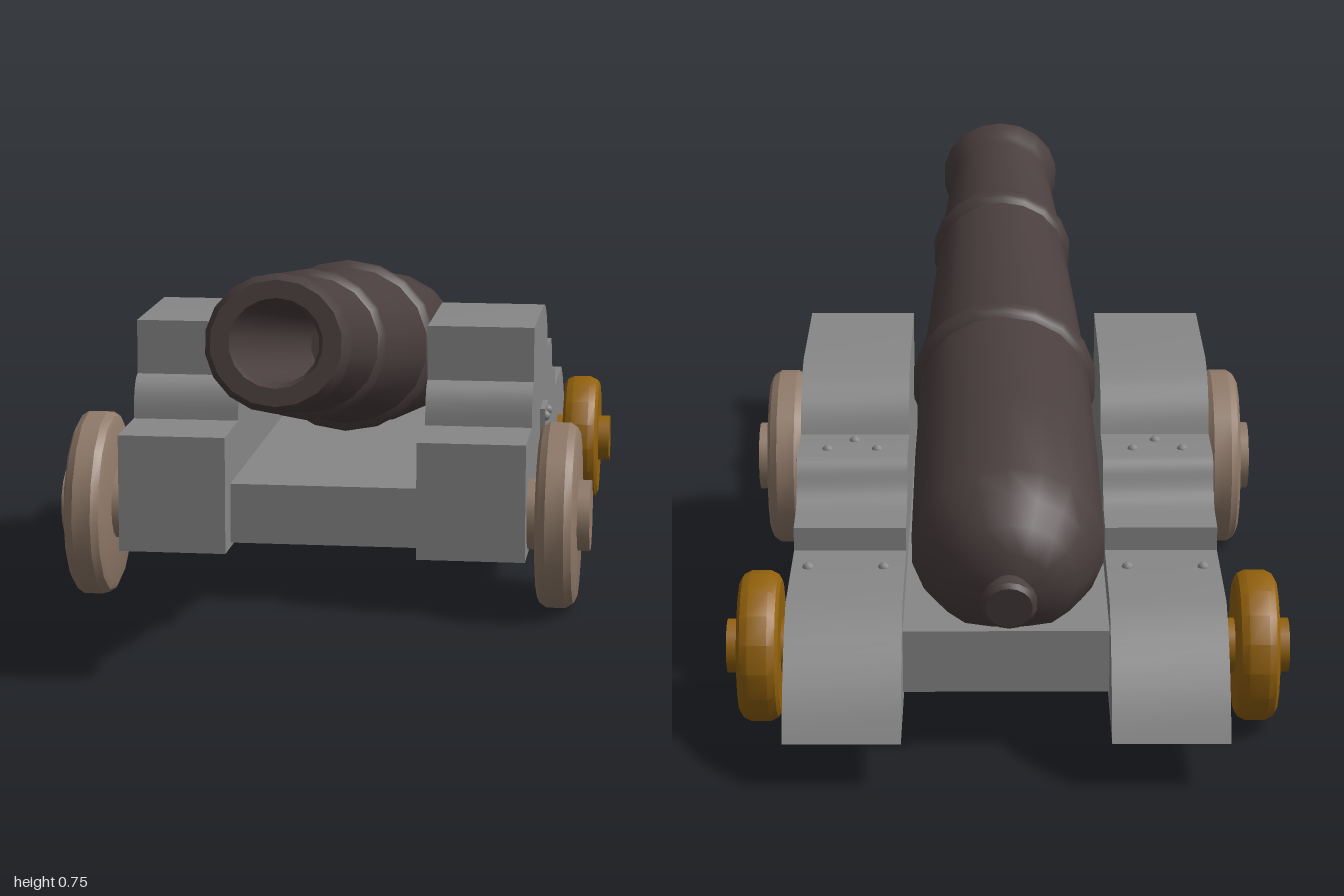
import * as THREE from 'three';
import { toCreasedNormals } from 'three/addons/utils/BufferGeometryUtils.js';

const mat = (color) => new THREE.MeshStandardMaterial({ color });

export function createModel() {
  const model = new THREE.Group();
  const grey = mat(0x878787);
  const iron = mat(0x4a3e3e);
  const tan = mat(0x907a69);
  const amber = mat(0x92610c);

  const add = (name, geometry, material, x = 0, y = 0, z = 0) => {
    const mesh = new THREE.Mesh(geometry, material);
    mesh.name = name;
    mesh.position.set(x, y, z);
    model.add(mesh);
    return mesh;
  };
  // Turned shape from [radius, height] pairs, sharp only at strong edges
  const lathe = (points, sides, crease) => toCreasedNormals(
    new THREE.LatheGeometry(points.map(([r, h]) => new THREE.Vector2(r, h)), sides), crease);

  // Barrel: cascabel knob, breech, two bands, flared muzzle and hollow bore
  const tilt = 0.171;
  const barrelGeo = lathe([
    [0, 0], [0.042, 0], [0.05, 0.008], [0.05, 0.026], [0.038, 0.034], [0.038, 0.054],
    [0.075, 0.064], [0.122, 0.093], [0.153, 0.145], [0.178, 0.205],
    [0.176, 0.5], [0.169, 0.825],
    [0.178, 0.832], [0.184, 0.845], [0.184, 0.865], [0.178, 0.878], [0.167, 0.885],
    [0.136, 1.435], [0.143, 1.442], [0.148, 1.455], [0.148, 1.475], [0.143, 1.488], [0.133, 1.495],
    [0.111, 1.805], [0.117, 1.83], [0.128, 1.855], [0.128, 1.885], [0.115, 1.912],
    [0.082, 1.912], [0.074, 1.895], [0.07, 0.9], [0, 0.9],
  ], 18, 0.75).scale(1, 1, 0.95).rotateX(Math.PI / 2 - tilt);
  add('barrel', barrelGeo, iron, -0.005, 0.308, -0.902).rotation.y = 0.006;

  // Stepped carriage cheek, drawn as (z, y)
  const side = new THREE.Shape();
  side.moveTo(-1, 0.09);
  side.lineTo(0.365, 0.11);
  side.lineTo(0.365, 0.34);
  side.lineTo(0.2, 0.342);
  side.quadraticCurveTo(0.198, 0.42, 0.155, 0.425);
  side.lineTo(0.155, 0.533);
  side.lineTo(-0.145, 0.533);
  side.quadraticCurveTo(-0.26, 0.52, -0.285, 0.42);
  side.lineTo(-0.4, 0.42);
  side.quadraticCurveTo(-0.425, 0.42, -0.437, 0.385);
  side.quadraticCurveTo(-0.455, 0.335, -0.5, 0.335);
  side.lineTo(-0.56, 0.33);
  side.lineTo(-0.56, 0.285);
  side.lineTo(-0.815, 0.285);
  side.quadraticCurveTo(-0.94, 0.23, -1, 0.09);
  const cheekGeo = toCreasedNormals(
    new THREE.ExtrudeGeometry(side, { depth: 0.21, bevelEnabled: false, curveSegments: 6 })
      .rotateY(-Math.PI / 2).translate(0.105, 0, 0), 0.5);

  // Bed plank between the cheeks
  add('bed', new THREE.BoxGeometry(0.39, 0.118, 1.135), grey, 0, 0.177, -0.267);

  // Bevelled wheel disc, turned on the x axis
  const wheelGeo = (r) => lathe([
    [0, -0.038], [r * 0.88, -0.038], [r * 0.95, -0.032], [r, -0.018],
    [r, 0.018], [r * 0.95, 0.032], [r * 0.88, 0.038], [0, 0.038],
  ], 16, 0.5).rotateZ(Math.PI / 2);
  const axleGeo = (r) => toCreasedNormals(
    new THREE.CylinderGeometry(r, r, 0.14, 16).rotateZ(Math.PI / 2), 0.6);
  const rivetGeo = new THREE.SphereGeometry(0.011, 8, 6);

  const wheels = [
    { name: 'front', r: 0.183, hub: 0.07, x: 0, y: 0.184, z: 0.262, material: tan },
    { name: 'rear', r: 0.139, hub: 0.05, x: -0.004, y: 0.148, z: -0.69, material: amber },
  ].map((w) => ({ ...w, disc: wheelGeo(w.r), axle: axleGeo(w.hub) }));
  // Rivets on the cheek tops as [x, y, z]
  const topRivets = [
    [0.365, 0.284, -0.645], [0.225, 0.284, -0.645],
    [0.34, 0.418, -0.37], [0.245, 0.418, -0.37], [0.29, 0.418, -0.32],
  ];

  for (const s of [1, -1]) {
    const label = s > 0 ? 'left' : 'right';
    add(`${label}Cheek`, cheekGeo, grey, s * 0.291, 0, 0);

    for (const w of wheels) {
      add(`${label}-${w.name}-wheel`, w.disc, w.material, w.x + s * 0.455, w.y, w.z);
      add(`${label}-${w.name}-axle`, w.axle, w.material, w.x + s * 0.447, w.y, w.z);
    }

    // Riveted side plate
    add(`${label}Plate`, new THREE.BoxGeometry(0.016, 0.118, 0.1), grey, s * 0.398, 0.272, -0.105);
    for (const dy of [-0.043, 0.043]) {
      for (const dz of [-0.034, 0.034]) {
        add(`${label}PlateRivet`, rivetGeo, grey, s * 0.405, 0.272 + dy, -0.105 + dz);
      }
    }
    for (const [x, y, z] of topRivets) add(`${label}TopRivet`, rivetGeo, grey, s * x, y, z);
  }
  return model;
}
